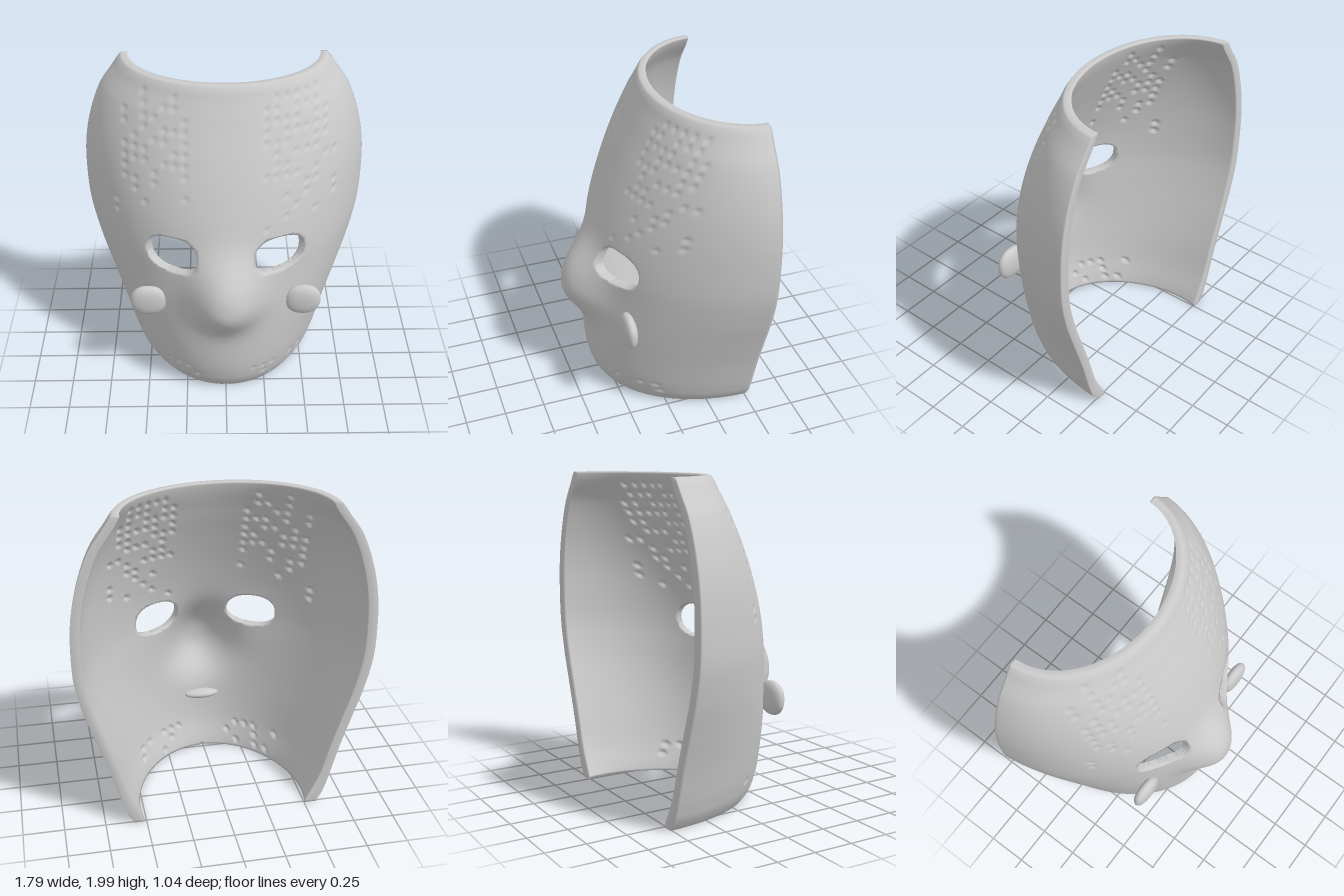
import * as THREE from 'three';

const BACK = -0.51, WALL = 0.055, COLS = 160, ROWS = 150;
const BOTTOM = 0.01, TOP = 2;
const EYE = { x: 0.325, y: 1.03, rx: 0.152, ry: 0.112 };

// Half width and front depth of the face at equal steps of height, 0 to 2
const profile = (list) => {
  const curve = new THREE.SplineCurve(list.map((v, i) => new THREE.Vector2(i, v)));
  return (y) => curve.getPoint(THREE.MathUtils.clamp(y / 2, 0, 1)).y;
};
const halfWidth = profile([0.6, 0.655, 0.71, 0.775, 0.84, 0.885, 0.895, 0.885, 0.845, 0.77, 0.645]);
const front = profile([0.325, 0.37, 0.385, 0.38, 0.36, 0.342, 0.305, 0.24, 0.16, 0.07, -0.01]);

// Half angle of the arc: nearly a half ellipse at the rims, more open at the cheeks
const arc = (y) => THREE.MathUtils.degToRad(89 - 8 * Math.exp(-(((y - 1.1) / 0.5) ** 2)));
const sideX = (t, y) => (halfWidth(y) * Math.sin(t * arc(y))) / Math.sin(arc(y));
const sideT = (x, y) => Math.asin((x / halfWidth(y)) * Math.sin(arc(y))) / arc(y);

const hash = (i, j) => {
  const s = Math.sin(i * 127.1 + j * 311.7) * 43758.5453;
  return s - Math.floor(s);
};

// Small pock marks on a lattice over the brow and the chin
function pit(x, y) {
  const step = 0.06, i = Math.round(x / step), j = Math.round(y / step);
  const px = Math.abs(i * step), py = j * step;
  let density = 0;
  if (px > 0.2 && px < 0.8 * halfWidth(py) && py < 1.95) density = 0.7 * THREE.MathUtils.smoothstep(py, 1.05, 1.7);
  if (px > 0.15 && px < 0.5 && py > 0.03 && py < 0.2) density = 0.6;
  if (hash(i, j) > density) return 0;
  const r = Math.hypot(x - i * step, y - py) / 0.018;
  return r < 1 ? 1 - r * r : 0;
}

// Ball of the nose, running up into the bridge
function nose(x, y) {
  const sy = y > 0.77 ? 0.255 : 0.21;
  return 0.163 * Math.exp(-(((x / 0.22) ** 2 + ((y - 0.77) / sy) ** 2) ** 1.25));
}

// Softening of the outer skin towards the top and bottom rims
function rimInset(y) {
  const low = Math.max(0, 1 - (y - BOTTOM) / 0.1), high = Math.max(0, 1 - (TOP - y) / 0.05);
  return 0.03 * low ** 2 + 0.015 * high ** 2;
}

// Thickening of the wall at the lower back corners
const cornerFlare = (t, y) => 0.05 * Math.max(0, 1 - y / 0.3) ** 2 * Math.abs(t) ** 8;

// Point on the outer or inner skin at t from -1 to 1 across the face, height y
function skin(t, y, inner) {
  const x0 = sideX(t, y), a = arc(y);
  const inset = inner ? WALL - 0.022 * pit(x0, y) : rimInset(y) + 0.011 * pit(x0, y);
  const w = halfWidth(y) - inset - (inner ? cornerFlare(t, y) : 0);
  const d = front(y) - BACK - inset;
  const depth = (Math.cos(t * a) - Math.cos(a)) / (1 - Math.cos(a));
  return [(w * Math.sin(t * a)) / Math.sin(a), y, BACK + d * depth + nose(x0, y)];
}

// Rounded eye opening: below 1 inside, 1 on the edge
const eyeRadius = (x, y) => {
  const p = 2.4;
  return (Math.abs((Math.abs(x) - EYE.x) / EYE.rx) ** p + Math.abs((y - EYE.y) / EYE.ry) ** p) ** (1 / p);
};

function maskGeometry() {
  const n = COLS + 1, count = n * (ROWS + 1);
  const id = (c, r) => r * n + c;
  const grid = [];
  for (let r = 0; r <= ROWS; r++)
    for (let c = 0; c <= COLS; c++)
      grid.push({ t: (2 * c) / COLS - 1, y: BOTTOM + (r / ROWS) * (TOP - BOTTOM), kept: false, cut: false });

  // Drop the cells inside the eyes
  const cells = [];
  for (let r = 0; r < ROWS; r++)
    for (let c = 0; c < COLS; c++) {
      const quad = [id(c, r), id(c + 1, r), id(c + 1, r + 1), id(c, r + 1)];
      const t = (grid[quad[0]].t + grid[quad[1]].t) / 2;
      const y = (grid[quad[0]].y + grid[quad[2]].y) / 2;
      const hole = eyeRadius(sideX(t, y), y) < 1;
      quad.forEach((q) => { grid[q][hole ? 'cut' : 'kept'] = true; });
      if (!hole) cells.push(quad);
    }

  // Pull the ragged edge of each opening onto its smooth outline
  for (const g of grid) {
    if (!g.cut || !g.kept) continue;
    const x = sideX(g.t, g.y), k = eyeRadius(x, g.y);
    const cx = Math.sign(x) * EYE.x;
    g.y = EYE.y + (g.y - EYE.y) / k;
    g.t = sideT(cx + (x - cx) / k, g.y);
  }

  const pos = [], index = [], edges = new Map();
  for (const inner of [false, true]) for (const g of grid) pos.push(...skin(g.t, g.y, inner));
  for (const [p, q, r, s] of cells) {
    index.push(p, q, r, p, r, s);
    index.push(p + count, r + count, q + count, p + count, s + count, r + count);
    for (const [u, v] of [[p, q], [q, r], [r, s], [s, p]]) {
      if (!edges.delete(v * count + u)) edges.set(u * count + v, [u, v]);
    }
  }
  // Close every open edge between the two skins
  for (const [u, v] of edges.values()) index.push(u, u + count, v, v, u + count, v + count);

  const geo = new THREE.BufferGeometry();
  geo.setAttribute('position', new THREE.Float32BufferAttribute(pos, 3));
  geo.setIndex(index);
  geo.computeVertexNormals();
  return geo;
}

// Soft-cornered pebble, a sphere pushed towards a box
function pebble(rx, ry, rz, power) {
  const geo = new THREE.SphereGeometry(1, 32, 24), p = geo.attributes.position;
  const v = new THREE.Vector3();
  for (let i = 0; i < p.count; i++) {
    v.fromBufferAttribute(p, i);
    const k = (Math.abs(v.x) ** power + Math.abs(v.y) ** power + Math.abs(v.z) ** power) ** (-1 / power);
    p.setXYZ(i, v.x * k * rx, v.y * k * ry, v.z * k * rz);
  }
  geo.computeVertexNormals();
  return geo;
}

export function createModel() {
  const group = new THREE.Group();
  const material = new THREE.MeshStandardMaterial({ color: 0xcccccc });
  const add = (name, geo, x, y, z) => {
    const mesh = new THREE.Mesh(geo, material);
    mesh.name = name;
    mesh.position.set(x, y, z);
    group.add(mesh);
  };

  add('maskShell', maskGeometry(), 0, 0, 0);
  add('leftCheekKnob', pebble(0.11, 0.104, 0.042, 2.3), 0.48, 0.672, 0.25);
  add('rightCheekKnob', pebble(0.11, 0.104, 0.042, 2.3), -0.48, 0.672, 0.25);

  // Small ridge on the inside, behind the mouth
  add('innerMouthRidge', pebble(0.115, 0.03, 0.05, 2), 0, 0.39, 0.325);
  return group;
}
